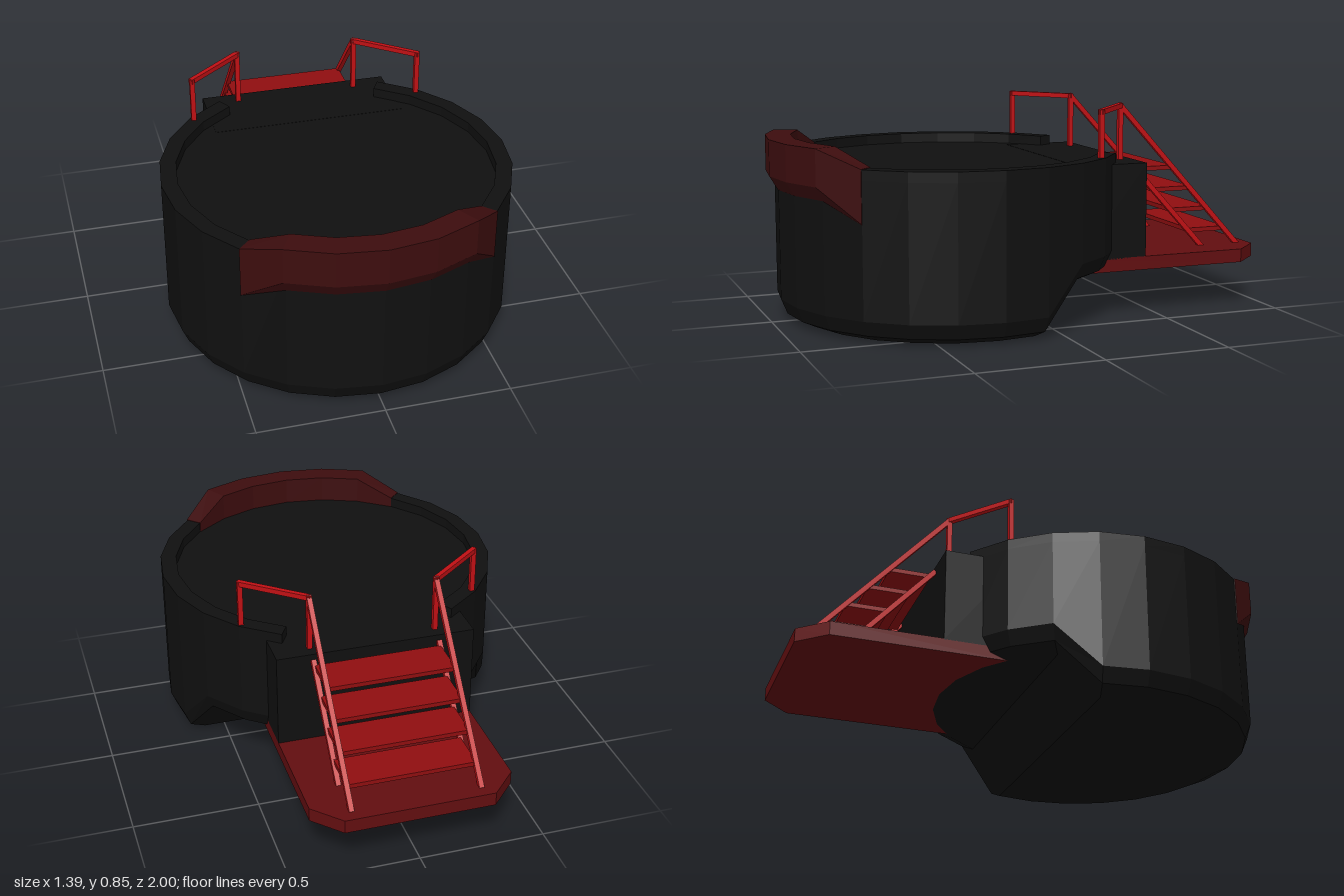
import * as THREE from 'three';

const SIDES = 24, CZ = 0.265;
const paint = (color) => new THREE.MeshStandardMaterial({ color, flatShading: true, side: THREE.DoubleSide });
const black = paint(0x101010), maroon = paint(0x3d0d0e), darkRed = paint(0x620e10);
const stepRed = paint(0x900e10), railRed = paint(0xc01014);

// Point on the round tub; column 0 is the front, columns run towards +x
function polar(r, y, k) {
  const a = (k / SIDES) * Math.PI * 2;
  return [r * Math.sin(a), y, CZ + r * Math.cos(a)];
}

function geometryFrom(points, index) {
  const g = new THREE.BufferGeometry();
  g.setAttribute('position', new THREE.Float32BufferAttribute(points.flat(), 3));
  g.setIndex(index);
  const flat = g.toNonIndexed();
  flat.computeVertexNormals();
  return flat;
}

// Skin of cross-sections swept round the tub from column k0 to k1, with end caps
function sweep(k0, k1, section) {
  const points = [], index = [], n = section(k0).length, cols = k1 - k0;
  for (let k = k0; k <= k1; k++) section(k).forEach(([r, y]) => points.push(polar(r, y, k)));
  for (let c = 0; c < cols; c++) {
    for (let j = 0; j < n; j++) {
      const a = c * n + j, b = c * n + (j + 1) % n;
      index.push(a, a + n, b + n, a, b + n, b);
    }
  }
  const e = cols * n;
  for (let j = 1; j < n - 1; j++) index.push(0, j, j + 1, e, e + j + 1, e + j);
  return geometryFrom(points, index);
}

// Tub wall with chamfered foot; the rear of the underside is raised
function tubGeometry() {
  const profile = [[0.605, 0], [0.67, 0.03], [0.695, 0.09], [0.695, 0.619]];
  const points = [], index = [], top = 3 * SIDES;
  profile.forEach(([r, y], j) => {
    for (let k = 0; k < SIDES; k++) {
      const lift = j < 3 && k >= 8 && k <= 16 ? 0.18 : 0;
      points.push(polar(r, y + lift, k));
    }
  });
  for (let j = 0; j < 3; j++) {
    for (let k = 0; k < SIDES; k++) {
      const a = j * SIDES + k, b = j * SIDES + (k + 1) % SIDES;
      index.push(a, b, b + SIDES, a, b + SIDES, a + SIDES);
    }
  }
  // Underside and floor in strips from side to side
  for (let k = 0; k < SIDES / 2; k++) {
    const a = k, b = k + 1, c = SIDES - k - 1, d = (SIDES - k) % SIDES;
    index.push(a, c, b, a, d, c);
    index.push(top + a, top + b, top + c, top + a, top + c, top + d);
  }
  return geometryFrom(points, index);
}

export function createModel() {
  const model = new THREE.Group();

  function add(parent, name, geometry, material) {
    const mesh = new THREE.Mesh(geometry, material);
    mesh.name = name;
    parent.add(mesh);
    return mesh;
  }

  function box(parent, name, material, [x0, x1], [y0, y1], [z0, z1]) {
    const mesh = add(parent, name, new THREE.BoxGeometry(x1 - x0, y1 - y0, z1 - z0), material);
    mesh.position.set((x0 + x1) / 2, (y0 + y1) / 2, (z0 + z1) / 2);
  }

  // Square bar between two points
  function bar(parent, name, from, to, size = 0.02) {
    const a = new THREE.Vector3(...from), b = new THREE.Vector3(...to);
    const mesh = add(parent, name, new THREE.BoxGeometry(size, size, a.distanceTo(b) + size * 0.8), railRed);
    mesh.position.copy(a).lerp(b, 0.5);
    mesh.lookAt(b);
  }

  add(model, 'tub', tubGeometry(), black);

  // Raised rim, open at the back for the entrance
  const rim = [[0.695, 0.619], [0.695, 0.66], [0.63, 0.66], [0.63, 0.619]];
  add(model, 'rim', sweep(14, 34, () => rim), black);

  // Front bumper, tapering into the rim at both ends
  const middle = [[0.697, 0.53], [0.73, 0.585], [0.73, 0.73], [0.628, 0.73], [0.628, 0.615]];
  const end = [[0.697, 0.455], [0.698, 0.457], [0.698, 0.662], [0.628, 0.662], [0.628, 0.615]];
  add(model, 'bumper', sweep(-3, 3, (k) => (Math.abs(k) === 3 ? end : middle)), maroon);

  box(model, 'landing', black, [-0.4, 0.4], [0.235, 0.62], [-0.45, -0.15]);

  // Rear platform with clipped corners
  const outline = new THREE.Shape([
    [-0.4, 0.19], [0.4, 0.19], [0.4, 0.89], [0.295, 1], [-0.295, 1], [-0.4, 0.89],
  ].map(([x, y]) => new THREE.Vector2(x, y)));
  const slab = new THREE.ExtrudeGeometry(outline, { depth: 0.055, bevelEnabled: false });
  slab.rotateX(-Math.PI / 2);
  add(model, 'platform', slab, darkRed).position.y = 0.184;

  // Stair treads
  const stairs = new THREE.Group();
  stairs.name = 'stairs';
  model.add(stairs);
  for (let i = 0; i < 4; i++) {
    const y = 0.575 - i * 0.09, z = -0.64 - i * 0.083;
    box(stairs, 'tread', stepRed, [-0.255, 0.255], [y - 0.009, y + 0.009], [z, z + 0.17]);
  }

  // Handrails, posts and stair stringers on both sides
  for (const s of [1, -1]) {
    const rail = new THREE.Group();
    rail.name = s > 0 ? 'leftRail' : 'rightRail';
    model.add(rail);
    const inner = [s * 0.255, 0.84, -0.397], outer = [s * 0.48, 0.84, -0.211];
    bar(rail, 'topRail', inner, outer);
    bar(rail, 'innerPost', [inner[0], 0.62, inner[2]], inner);
    bar(rail, 'outerPost', [outer[0], 0.65, outer[2]], outer);
    bar(rail, 'handrail', inner, [s * 0.255, 0.24, -0.943]);
    bar(rail, 'stringer', [s * 0.255, 0.59, -0.457], [s * 0.255, 0.24, -0.775]);
  }
  return model;
}
